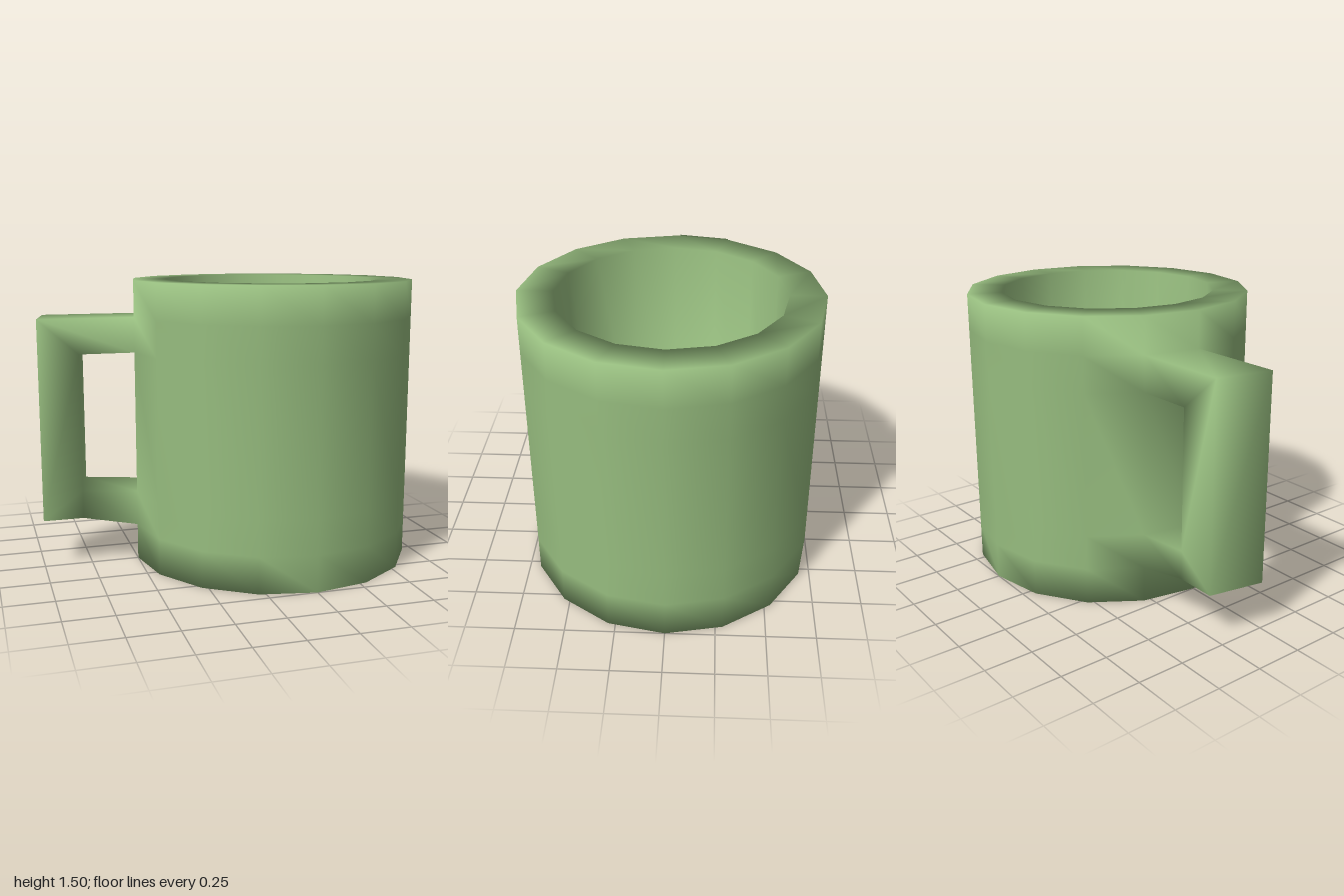
import * as THREE from 'three';

const SIDES = 16;
const CENTER_X = 0.25;

export function createModel() {
  const green = new THREE.MeshStandardMaterial({ color: 0x97bd7f, side: THREE.DoubleSide });
  green.name = 'mug green';

  const positions = [];
  const bodyFaces = [];
  const handleFaces = [];
  const addPoint = (x, y, z) => positions.push(x, y, z) / 3 - 1;
  const quad = (list, a, b, c, d) => list.push(a, b, c, a, c, d);

  // Cup profile [radius, height]: up the outside, over the rim, down the inside
  const profile = [
    [0.75, 0], [0.75, 0.19], [0.75, 0.375], [0.75, 1.125], [0.75, 1.31], [0.75, 1.5],
    [0.57, 1.5], [0.57, 0.19],
  ];
  for (const [r, y] of profile) {
    for (let i = 0; i < SIDES; i++) {
      const a = (i / SIDES) * Math.PI * 2;
      addPoint(CENTER_X + r * Math.cos(a), y, r * Math.sin(a));
    }
  }
  const ring = (r, i) => r * SIDES + ((i + SIDES * 2) % SIDES);

  // Cup walls, left open where the two handle arms join
  for (let r = 0; r < profile.length - 1; r++) {
    for (let i = 0; i < SIDES; i++) {
      if (i === 8 && (r === 1 || r === 3)) continue;
      quad(bodyFaces, ring(r, i), ring(r + 1, i), ring(r + 1, i + 1), ring(r, i + 1));
    }
  }

  // Underside and inner floor, filled in strips from back to front
  const last = profile.length - 1;
  for (let k = 0; k < SIDES / 2; k++) {
    const strip = [12 + k, 13 + k, 11 - k, 12 - k];
    quad(bodyFaces, ...strip.map((i) => ring(0, i)));
    quad(bodyFaces, ...strip.map((i) => ring(last, i)).reverse());
  }

  // Handle sections: outer front, outer back, inner back, inner front
  const pair = (x, y) => [addPoint(x, y, 0), addPoint(x + 0.057, y, -0.287)];
  const topOuter = pair(-1, 1.31);
  const topInner = pair(-0.79, 1.125);
  const lowOuter = pair(-1, 0.25);
  const lowBend = pair(-0.79, 0.25);
  const lowInner = pair(-0.79, 0.4);
  const section = (outer, inner) => [outer[0], outer[1], inner[1], inner[0]];
  const joint = (r) => [ring(r, 8), ring(r, 9)];
  const sections = [
    section(joint(4), joint(3)),
    section(topOuter, topInner),
    section(lowOuter, lowInner),
    section(lowBend, lowInner),
    section(joint(1), joint(2)),
  ];
  for (let s = 0; s < sections.length - 1; s++) {
    for (let j = 0; j < 4; j++) {
      const n = (j + 1) % 4;
      quad(handleFaces, sections[s][j], sections[s][n], sections[s + 1][n], sections[s + 1][j]);
    }
  }

  // Smooth normals shared across cup and handle, then split into named parts
  const whole = new THREE.BufferGeometry();
  whole.setAttribute('position', new THREE.Float32BufferAttribute(positions, 3));
  whole.setIndex([...bodyFaces, ...handleFaces]);
  whole.computeVertexNormals();

  const group = new THREE.Group();
  group.name = 'mug';
  const addPart = (name, faces) => {
    const geometry = whole.clone();
    geometry.setIndex(faces);
    const mesh = new THREE.Mesh(geometry, green);
    mesh.name = name;
    group.add(mesh);
  };
  addPart('cup', bodyFaces);
  addPart('handle', handleFaces);
  return group;
}
